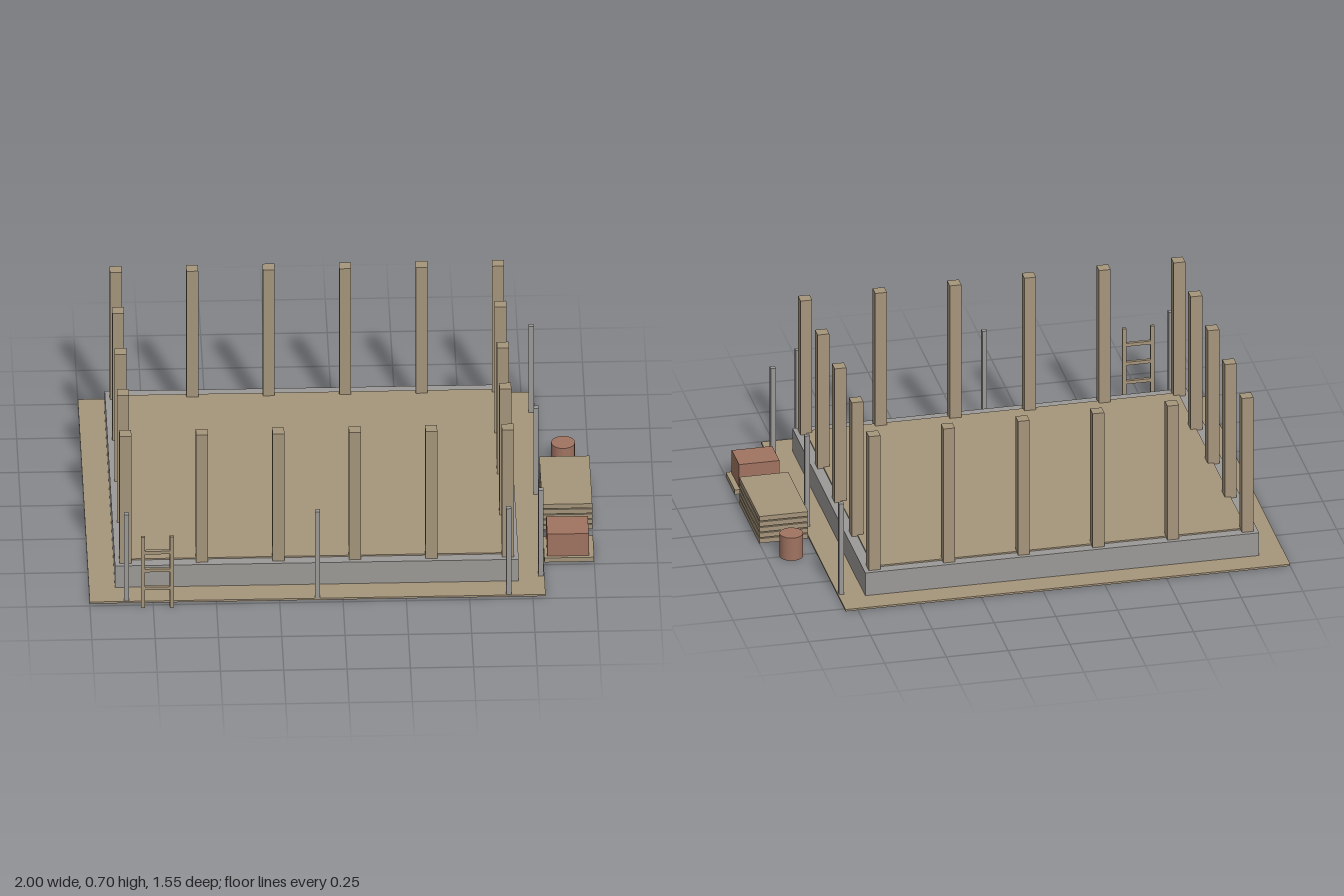
import * as THREE from 'three';

const wood = new THREE.MeshStandardMaterial({ name: 'wood', color: 0xa5957b });
const concrete = new THREE.MeshStandardMaterial({ name: 'concrete', color: 0x9c9a97 });
const clay = new THREE.MeshStandardMaterial({ name: 'clay', color: 0xa07361 });

// Box given by its x, y and z ranges
function box(parent, name, material, [x0, x1], [y0, y1], [z0, z1]) {
  const mesh = new THREE.Mesh(new THREE.BoxGeometry(x1 - x0, y1 - y0, z1 - z0), material);
  mesh.position.set((x0 + x1) / 2, (y0 + y1) / 2, (z0 + z1) / 2);
  mesh.name = name;
  parent.add(mesh);
  return mesh;
}

// Square upright centred on x, z
function upright(parent, name, material, x, z, size, y0, y1) {
  const h = size / 2;
  return box(parent, name, material, [x - h, x + h], [y0, y1], [z - h, z + h]);
}

function group(parent, name) {
  const g = new THREE.Group();
  g.name = name;
  parent.add(g);
  return g;
}

export function createModel() {
  const model = new THREE.Group();
  model.name = 'constructionSite';
  const cx = -0.1, cz = -0.0215; // centre of the building

  // Ground sheet
  box(model, 'ground', wood, [-1, 0.8], [0, 0.008], [-0.773, 0.733]);

  // Foundation ring
  const foundation = group(model, 'foundation');
  const ox = 0.797, oz = 0.65, t = 0.042, fy = [0.001, 0.108];
  for (const s of [-1, 1]) {
    const x = cx + s * (ox - t / 2), z = cz + s * (oz - t / 2);
    box(foundation, 'foundationLongWall', concrete, [cx - ox, cx + ox], fy, [z - t / 2, z + t / 2]);
    box(foundation, 'foundationSideWall', concrete, [x - t / 2, x + t / 2], fy, [cz - oz + t, cz + oz - t]);
  }

  // Floor deck inside the ring
  box(model, 'floor', wood, [cx - ox + t, cx + ox - t], [0.095, 0.114], [cz - oz + t, cz + oz - t]);

  // Posts around the perimeter
  const posts = group(model, 'posts');
  const px = 0.755, pz = 0.609;
  for (let i = 0; i < 6; i++) {
    for (let j = 0; j < 5; j++) {
      if (i > 0 && i < 5 && j > 0 && j < 4) continue;
      const x = cx - px + (i * 2 * px) / 5, z = cz - pz + (j * pz) / 2;
      upright(posts, 'post', wood, x, z, 0.047, 0.108, 0.7);
    }
  }

  // Scaffold poles along the front and the left side
  const poles = group(model, 'scaffoldPoles');
  for (const k of [-1, 0, 1]) {
    upright(poles, 'frontPole', concrete, cx + k * px, 0.72, 0.02, 0.002, 0.408);
    upright(poles, 'sidePole', concrete, 0.786, cz + k * pz, 0.02, 0.002, 0.408);
  }

  // Ladder
  const ladder = group(model, 'ladder');
  const lz = [0.76, 0.773];
  box(ladder, 'ladderRail', wood, [-0.799, -0.783], [0, 0.329], lz);
  box(ladder, 'ladderRail', wood, [-0.685, -0.669], [0, 0.329], lz);
  for (let i = 1; i <= 3; i++) {
    const y = 0.008 + i * 0.083;
    box(ladder, 'ladderRung', wood, [-0.785, -0.683], [y - 0.007, y + 0.007], lz);
  }

  // Stack of boards
  const stack = group(model, 'boardStack');
  for (let i = 0; i < 5; i++) {
    const y = i * 0.0245;
    box(stack, 'board', wood, [0.802, 1], [y, y + 0.02], [-0.116, 0.24]);
  }

  // Pallet with bricks
  box(model, 'pallet', wood, [0.803, 1], [0, 0.02], [0.322, 0.482]);
  box(model, 'brickPile', clay, [0.815, 0.979], [0.02, 0.122], [0.338, 0.468]);

  // Barrel
  const barrel = new THREE.Mesh(new THREE.CylinderGeometry(0.047, 0.047, 0.1, 20), clay);
  barrel.name = 'barrel';
  barrel.position.set(0.9, 0.05, -0.248);
  model.add(barrel);

  return model;
}
